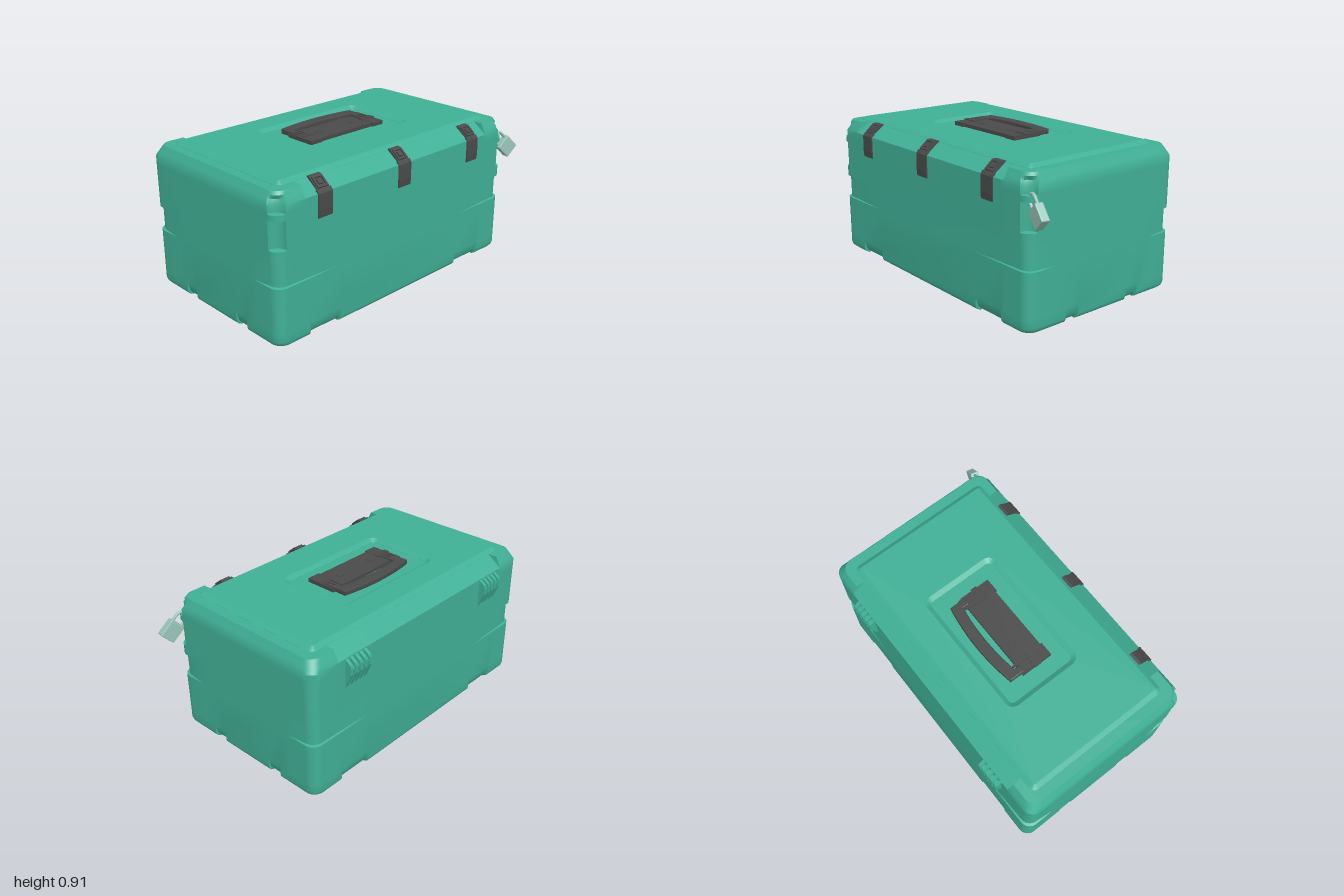
import * as THREE from 'three';
import { toCreasedNormals } from 'three/addons/utils/BufferGeometryUtils.js';

const green = new THREE.MeshStandardMaterial({ color: 0x40b096 });
green.name = 'green plastic';
const black = new THREE.MeshStandardMaterial({ color: 0x4a4a4a });
black.name = 'dark plastic';
const steel = new THREE.MeshStandardMaterial({ color: 0x9ac6b9 });
steel.name = 'pale metal';

const CX = 0.015, CZ = 0.065, HW = 0.555, HD = 0.935, R = 0.065;

function add(parent, name, geometry, material, x = 0, y = 0, z = 0) {
  const mesh = new THREE.Mesh(geometry, material);
  mesh.name = name;
  mesh.position.set(x, y, z);
  parent.add(mesh);
  return mesh;
}

// One quarter of the case outline, from the side wall round to the end wall.
// e: inset, mid: inset of the middle of the sides, foot: bottom notch depth,
// rec: corner hand recess depth, notch: 0..1 hollowing of the padlock corners
function quarter(sx, sz, { y, e = 0, mid = 0, foot = 0, rec = 0, notch = 0 }) {
  const pts = [];
  const put = (x, z, inFoot) => pts.push([sx * x, y + (y === 0 && inFoot ? 0.008 : 0), sz * z]);
  for (const z of [0.493, 0.495, 0.715, 0.717, 0.735, 0.738]) {
    const inFoot = z > 0.494 && z < 0.716;
    const fade = Math.max(0, (z - 0.5) / (HD - R - 0.5)) * rec;
    put(HW - (z < 0.736 ? Math.max(e, mid) : e) - fade - (inFoot ? foot : 0), z, inFoot);
  }
  const W = HW - e - rec, D = HD - e - rec, n = sx > 0 ? notch : 0;
  for (let i = 0; i <= 10; i++) {
    const a = i / 10 * Math.PI / 2, c = Math.cos(a), s = Math.sin(a);
    put(THREE.MathUtils.lerp(W - R + R * c, W - R * s, n),
      THREE.MathUtils.lerp(D - R + R * s, D - R * c, n), false);
  }
  for (const x of [0.365, 0.282, 0.28, 0.19, 0.188]) {
    const inFoot = x > 0.189 && x < 0.281;
    put(x, HD - e - (inFoot ? foot : 0), inFoot);
  }
  return pts;
}

// Stack the outlines into a closed skin
function loft(levels) {
  const rings = levels.map(l => [
    ...quarter(1, 1, l), ...quarter(-1, 1, l).reverse(),
    ...quarter(-1, -1, l), ...quarter(1, -1, l).reverse()]);
  const n = rings[0].length, index = [];
  for (let k = 0; k < rings.length - 1; k++) {
    for (let i = 0; i < n; i++) {
      const a = k * n + i, b = k * n + (i + 1) % n;
      index.push(a, a + n, b, b, a + n, b + n);
    }
  }
  const cap = (ring, base, flip) => {
    const flat = ring.map(p => new THREE.Vector2(p[0], p[2]));
    for (const [a, b, c] of THREE.ShapeUtils.triangulateShape(flat, [])) {
      index.push(base + a, base + (flip ? c : b), base + (flip ? b : c));
    }
  };
  cap(rings[0], 0, false);
  cap(rings[rings.length - 1], (rings.length - 1) * n, true);
  const g = new THREE.BufferGeometry();
  g.setAttribute('position', new THREE.Float32BufferAttribute(rings.flat(2), 3));
  g.setIndex(index);
  return toCreasedNormals(g, 0.6);
}

function roundRect(path, x0, y0, x1, y1, r) {
  path.moveTo(x0 + r, y0).lineTo(x1 - r, y0).quadraticCurveTo(x1, y0, x1, y0 + r)
    .lineTo(x1, y1 - r).quadraticCurveTo(x1, y1, x1 - r, y1)
    .lineTo(x0 + r, y1).quadraticCurveTo(x0, y1, x0, y1 - r)
    .lineTo(x0, y0 + r).quadraticCurveTo(x0, y0, x0 + r, y0);
  return path;
}

// Side profile in x and y, extruded along z about its middle
function profile(points, width) {
  const shape = new THREE.Shape(points.map(p => new THREE.Vector2(...p)));
  return new THREE.ExtrudeGeometry(shape, { depth: width, bevelEnabled: false }).translate(0, 0, -width / 2);
}

function makeHandle() {
  const g = new THREE.Group();
  g.name = 'carryHandle';
  add(g, 'handlePlate', new THREE.BoxGeometry(0.19, 0.024, 0.5), black, 0.015, 0.89, CZ);
  for (const s of [-1, 1]) {
    const z = CZ + s * 0.25;
    add(g, 'handleBracket', new THREE.BoxGeometry(0.2, 0.026, 0.085), black, 0.02, 0.891, z);
    for (const d of [-0.028, 0, 0.028]) {
      add(g, 'bracketRib', new THREE.BoxGeometry(0.14, 0.008, 0.014), black, -0.03, 0.907, z + d);
    }
    add(g, 'bracketBoss', new THREE.BoxGeometry(0.04, 0.008, 0.1), black, 0.02, 0.905, z);
    add(g, 'handleScrew', new THREE.CylinderGeometry(0.022, 0.022, 0.005, 20), black, 0.012, 0.9035, CZ + s * 0.135);
  }
  // Bowed grip, drawn in x and -z and laid flat
  const grip = new THREE.Shape();
  grip.moveTo(-0.06, -0.28).lineTo(-0.16, -0.28).quadraticCurveTo(-0.215, 0, -0.16, 0.28)
    .lineTo(-0.06, 0.28).lineTo(-0.06, 0.235).lineTo(-0.1, 0.235)
    .quadraticCurveTo(-0.14, 0, -0.1, -0.235).lineTo(-0.06, -0.235);
  const geo = new THREE.ExtrudeGeometry(grip, {
    depth: 0.02, bevelThickness: 0.006, bevelSize: 0.006, bevelOffset: -0.006, bevelSegments: 2, curveSegments: 20,
  }).rotateX(-Math.PI / 2);
  add(g, 'handleGrip', geo, black, 0, 0.886, CZ);
  return g;
}

function makeLatch(z) {
  const g = new THREE.Group();
  g.name = 'latch';
  g.position.z = z;
  add(g, 'latchLever', profile([[0.55, 0.68], [0.575, 0.68], [0.579, 0.72], [0.577, 0.815],
    [0.562, 0.835], [0.54, 0.82], [0.55, 0.78]], 0.098), black);
  add(g, 'latchStrap', profile([[0.56, 0.81], [0.574, 0.822], [0.492, 0.888], [0.47, 0.885], [0.47, 0.86]], 0.082), black);
  // Catch loop lying on the sloping lid edge
  const loop = new THREE.Group();
  loop.name = 'latchCatch';
  loop.position.set(0.53, 0.86, 0);
  loop.rotation.z = -0.68;
  add(loop, 'catchBlock', new THREE.BoxGeometry(0.03, 0.012, 0.03), black, 0, 0.003, 0);
  for (const s of [-1, 1]) {
    add(loop, 'catchSide', new THREE.BoxGeometry(0.07, 0.01, 0.01), black, 0, 0.003, s * 0.03);
    add(loop, 'catchBar', new THREE.BoxGeometry(0.01, 0.01, 0.06), black, s * 0.03, 0.003, 0);
  }
  g.add(loop);
  return g;
}

function makeHinge(z) {
  const g = new THREE.Group();
  g.name = 'hinge';
  g.position.z = z;
  for (let i = -2; i <= 2; i++) {
    add(g, 'hingeFin', profile([[-0.53, 0.63], [-0.53, 0.815], [-0.545, 0.805], [-0.575, 0.785],
      [-0.58, 0.77], [-0.58, 0.725], [-0.54, 0.635]], 0.02), green, 0, 0, i * 0.036);
  }
  add(g, 'hingePin', new THREE.CylinderGeometry(0.022, 0.022, 0.16, 16).rotateX(Math.PI / 2), green, -0.553, 0.75, 0);
  return g;
}

function makePadlock() {
  const g = new THREE.Group();
  g.name = 'padlock';
  g.position.set(0.55, 0.68, -0.926);
  g.rotation.order = 'YXZ';
  g.rotation.set(0.8, -0.23, 0);
  const body = new THREE.Shape();
  roundRect(body, -0.05, -0.055, 0.05, 0.055, 0.008);
  const geo = new THREE.ExtrudeGeometry(body, {
    depth: 0.036, bevelThickness: 0.006, bevelSize: 0.005, bevelOffset: -0.005, bevelSegments: 2,
  }).translate(0, 0, -0.018).rotateY(Math.PI / 2);
  add(g, 'padlockBody', geo, steel);
  const path = [[0.04, 0.034], [0.085, 0.034]];
  for (let i = 1; i < 8; i++) path.push([0.095 + 0.034 * Math.sin(i * Math.PI / 8), 0.034 * Math.cos(i * Math.PI / 8)]);
  path.push([0.085, -0.034], [0.04, -0.034]);
  const curve = new THREE.CatmullRomCurve3(path.map(([y, z]) => new THREE.Vector3(0, y, z)));
  add(g, 'padlockShackle', new THREE.TubeGeometry(curve, 32, 0.009, 10), steel);
  return g;
}

export function createModel() {
  const model = new THREE.Group();
  model.name = 'storageCase';

  // Case with foot notches, hand recesses, padlock corners and chamfered lid
  const levels = [
    { y: 0, e: 0.035, foot: 0.025 }, { y: 0.011, e: 0.013, foot: 0.025 },
    { y: 0.022, e: 0.004, foot: 0.02 }, { y: 0.038, foot: 0.015 }, { y: 0.09 },
    { y: 0.356 }, { y: 0.36, rec: 0.012 }, { y: 0.5, rec: 0.012 }, { y: 0.504 },
    { y: 0.568 }, { y: 0.572, notch: 1 }, { y: 0.73, notch: 1 }, { y: 0.733 },
    { y: 0.767 }, { y: 0.77, notch: 1 }, { y: 0.815, notch: 1 },
    { y: 0.84, e: 0.0135, mid: 0.035, notch: 0.75 }, { y: 0.862, e: 0.0253, mid: 0.065 },
    { y: 0.88, e: 0.035, mid: 0.09 },
  ];
  add(model, 'caseBody', loft(levels), green, CX, 0, CZ);

  // Raised lid panel with a sunken bay for the handle
  const panel = roundRect(new THREE.Shape(), -0.465, -0.84, 0.465, 0.84, 0.04);
  panel.holes.push(roundRect(new THREE.Path(), -0.25, -0.385, 0.19, 0.385, 0.03));
  const panelGeo = new THREE.ExtrudeGeometry(panel, {
    depth: 0.001, bevelThickness: 0.02, bevelSize: 0.028, bevelOffset: -0.028, bevelSegments: 1, curveSegments: 6,
  }).rotateX(-Math.PI / 2);
  add(model, 'lidPanel', panelGeo, green, CX, 0.88, CZ);

  model.add(makeHandle(), makePadlock());
  for (const z of [-0.54, 0.065, 0.67]) model.add(makeLatch(z));
  for (const z of [-0.54, 0.665]) model.add(makeHinge(z));
  return model;
}
